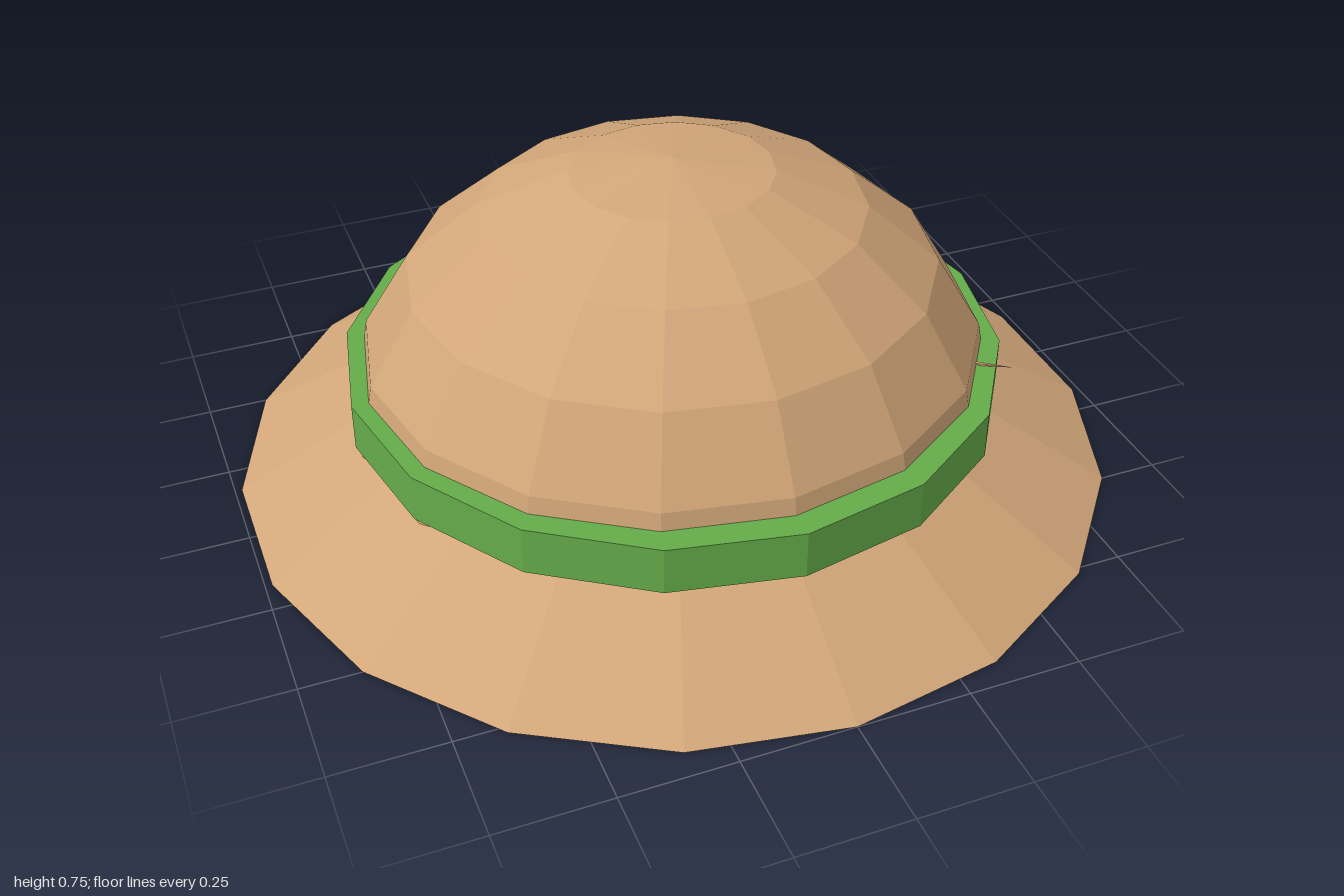
import * as THREE from 'three';

const straw = new THREE.MeshStandardMaterial({ color: 0xd2a679 });
straw.name = 'straw tan';
const ribbon = new THREE.MeshStandardMaterial({ color: 0x65ac4a });
ribbon.name = 'ribbon green';

// Faceted mesh: split the vertices so every face has its own normal
function facetedMesh(name, geometry, material) {
  const flat = geometry.toNonIndexed();
  flat.computeVertexNormals();
  const mesh = new THREE.Mesh(flat, material);
  mesh.name = name;
  return mesh;
}

export function createModel() {
  const hat = new THREE.Group();
  hat.name = 'sunHat';

  // Sloping brim with a closed underside
  const brim = facetedMesh('brim', new THREE.CylinderGeometry(0.6, 1, 0.236, 18), straw);
  brim.position.y = 0.118;

  // Domed crown, slightly narrower front to back
  const dome = new THREE.SphereGeometry(1, 16, 5, 0, Math.PI * 2, 0, Math.PI / 2);
  dome.scale(0.735, 0.615, 0.712);
  const crown = facetedMesh('crown', dome, straw);
  crown.position.y = 0.14;

  // Ribbon around the foot of the crown
  const band = facetedMesh('band', new THREE.CylinderGeometry(0.745, 0.745, 0.11, 16), ribbon);
  band.position.y = 0.235;

  // Loose straw sticking out above the band
  const start = new THREE.Vector3(0.59, 0.288, 0.34);
  const end = new THREE.Vector3(0.645, 0.314, 0.42);
  const along = end.clone().sub(start);
  const wisp = facetedMesh('looseStraw', new THREE.ConeGeometry(0.005, along.length(), 4), straw);
  wisp.position.copy(start).add(end).multiplyScalar(0.5);
  wisp.quaternion.setFromUnitVectors(new THREE.Vector3(0, 1, 0), along.normalize());

  hat.add(brim, crown, band, wisp);
  return hat;
}
